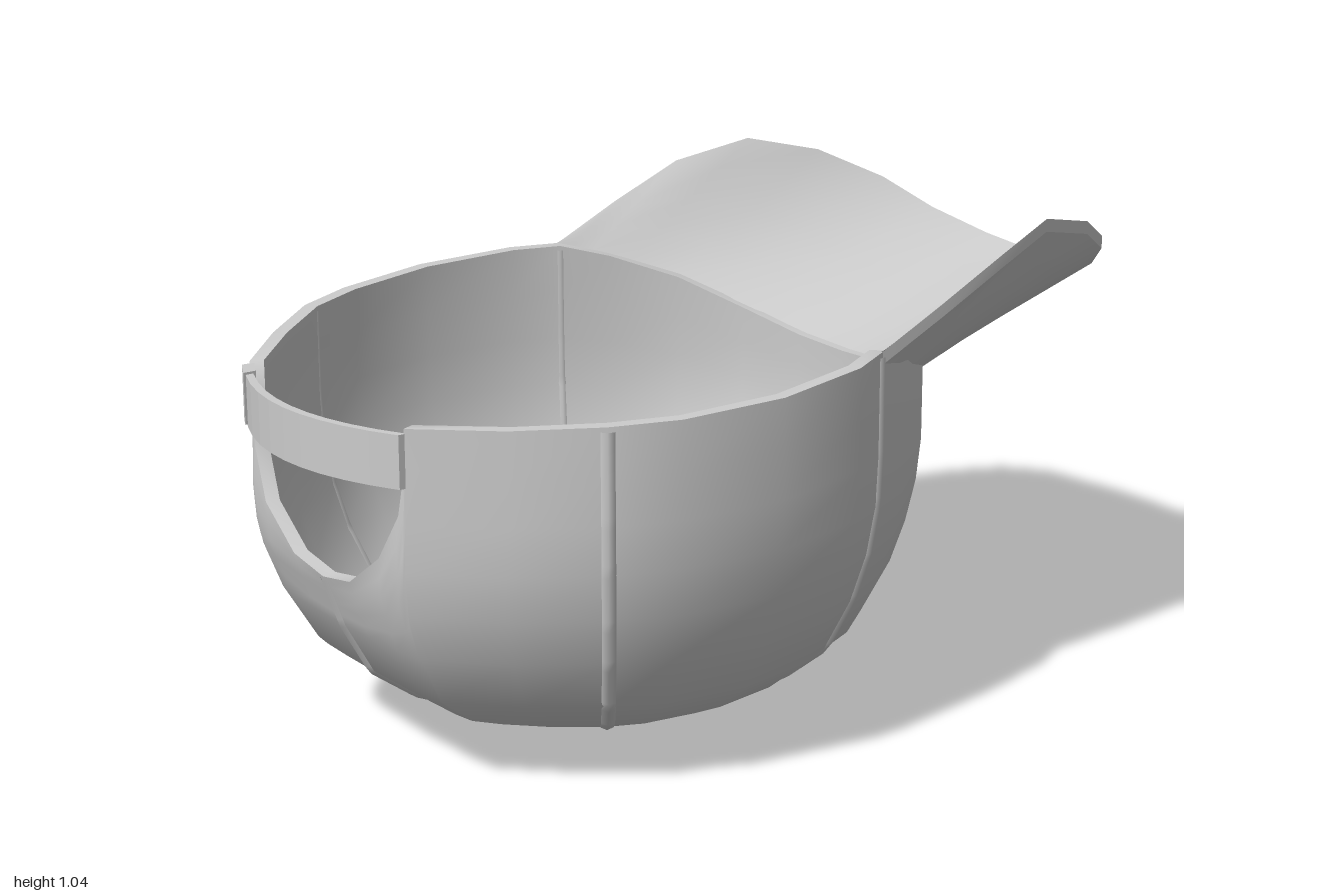
import * as THREE from 'three';
import { mergeGeometries } from 'three/addons/utils/BufferGeometryUtils.js';

const CZ = 0.23; // crown axis
const WALL = 0.03;

// Half of the crown outline, back to front: x, z, height of the rim (back opening first)
const HALF = [
  [0, 0.945, 0.42], [0.11, 0.943, 0.44], [0.22, 0.938, 0.52], [0.275, 0.93, 0.62],
  [0.29, 0.926, 0.7], [0.294, 0.924, 0.8], [0.44, 0.78, 0.805], [0.56, 0.615, 0.815],
  [0.62, 0.48, 0.82], [0.655, 0.26, 0.832], [0.62, 0.04, 0.845], [0.57, -0.06, 0.85],
  [0.52, -0.17, 0.82], [0.42, -0.3, 0.77], [0.29, -0.395, 0.71], [0.14, -0.445, 0.67],
  [0, -0.46, 0.66],
];
const COLS = [...HALF, ...HALF.slice(1, -1).reverse().map(([x, z, y]) => [-x, z, y])];

// Crown profile: share of the full radius, height
const PROFILE = [[0, 0.035], [0.2, 0.037], [0.4, 0.042], [0.53, 0.07], [0.67, 0.115],
  [0.82, 0.195], [0.91, 0.31], [0.975, 0.44], [1, 0.56], [1, 1]];
const LOWER = 7, UPPER = 5, ROWS = LOWER + UPPER;

// Brim edge from the side corner to the tip: x, y, z, and x of the matching rim point
const EDGE = [
  [0.57, 0.85, -0.06, 0.57], [0.57, 0.925, -0.22, 0.555], [0.56, 1.0, -0.39, 0.535],
  [0.508, 1.04, -0.56, 0.49], [0.455, 1.0, -0.73, 0.42], [0.37, 0.932, -0.86, 0.34],
  [0.27, 0.867, -0.93, 0.25], [0.14, 0.822, -0.985, 0.13], [0, 0.805, -1, 0],
];

// Linear lookup in rows of a table, sorted upward by column k
function lookup(table, k, value) {
  let i = 0;
  while (i < table.length - 2 && table[i + 1][k] < value) i++;
  const a = table[i], b = table[i + 1];
  const t = THREE.MathUtils.clamp((value - a[k]) / (b[k] - a[k]), 0, 1);
  return a.map((v, j) => v + (b[j] - v) * t);
}

// Smooth sheet from a point rule; faces point along du x dv
function sheet(nu, nv, point, closed = false) {
  const pos = [], index = [];
  for (let v = 0; v < nv; v++) for (let u = 0; u < nu; u++) pos.push(...point(u, v).toArray());
  for (let v = 0; v < nv - 1; v++) {
    for (let u = 0; u < (closed ? nu : nu - 1); u++) {
      const w = (u + 1) % nu;
      const a = v * nu + u, b = v * nu + w, c = a + nu, d = b + nu;
      index.push(a, b, d, a, d, c);
    }
  }
  const g = new THREE.BufferGeometry();
  g.setAttribute('position', new THREE.Float32BufferAttribute(pos, 3));
  g.setIndex(index);
  g.computeVertexNormals();
  return g;
}

// Point of the crown at a column and row, moved inward by off
function crownPoint(col, row, off = 0) {
  const [x, z, top] = COLS[col];
  let [rho, y] = PROFILE[Math.min(row, LOWER - 1)];
  if (row >= LOWER) {
    y += (top - y) * (row - LOWER + 1) / UPPER;
    rho = lookup(PROFILE, 1, y)[0];
  }
  const r = rho * (1 - off / Math.hypot(x, z - CZ));
  const tuck = z > 0.7 ? 1 - 0.03 * THREE.MathUtils.clamp((y - 0.42) / 0.2, 0, 1) : 1;
  return new THREE.Vector3(x * r, y + off * 0.8 * (1 - rho ** 4), CZ + (z - CZ) * r * tuck);
}

function crownGeometry() {
  const n = COLS.length;
  return mergeGeometries([
    sheet(n, ROWS, (u, v) => crownPoint(u, v), true),
    sheet(n, ROWS, (u, v) => crownPoint(u, ROWS - 1 - v, WALL), true),
    sheet(n, 2, (u, v) => crownPoint(u, ROWS - 1, v * WALL), true),
  ]);
}

// Stitched ridge showing on both faces of the crown
function seamGeometry(col) {
  const path = new THREE.CurvePath();
  const pts = [];
  for (let row = 1; row < ROWS; row++) pts.push(crownPoint(col, row, WALL * 0.45));
  pts[pts.length - 1].lerp(pts[pts.length - 2], 0.1);
  for (let i = 1; i < pts.length; i++) path.add(new THREE.LineCurve3(pts[i - 1], pts[i]));
  return new THREE.TubeGeometry(path, 44, 0.019, 8);
}

function brimGeometry() {
  const rim = HALF.slice(11).reverse(); // front stretch of the rim, x rising
  const across = [...EDGE.map(([x, y, z, r]) => [-x, y, z, -r]), ...EDGE.slice(0, -1).reverse()];
  const n = across.length, steps = 5, thick = 0.028;
  const point = (u, t, drop) => {
    const [x, y, z, rx] = across[u];
    const [, rz, ry] = lookup(rim, 0, Math.abs(rx));
    return new THREE.Vector3(rx, ry, rz + 0.008).lerp(new THREE.Vector3(x, y, z), t)
      .add(new THREE.Vector3(0, -drop, 0));
  };
  return mergeGeometries([
    sheet(n, steps, (u, v) => point(u, v / (steps - 1), 0)),
    sheet(n, steps, (u, v) => point(u, 1 - v / (steps - 1), thick)),
    sheet(n, 2, (u, v) => point(u, 1, v * thick)),
  ]);
}

// Curved band at the back, between x0 and x1
function strapGeometry(x0, x1, y0, y1, inner, outer) {
  const bow = (x) => 0.98 - 0.085 * (x / 0.3) ** 2;
  const shape = new THREE.Shape();
  const n = 10;
  for (let i = 0; i <= n; i++) {
    const x = x0 + (x1 - x0) * i / n;
    if (i) shape.lineTo(x, bow(x) + outer);
    else shape.moveTo(x, bow(x) + outer);
  }
  for (let i = n; i >= 0; i--) {
    const x = x0 + (x1 - x0) * i / n;
    shape.lineTo(x, bow(x) + inner);
  }
  const g = new THREE.ExtrudeGeometry(shape, { depth: y1 - y0, bevelEnabled: false });
  return g.rotateX(Math.PI / 2).translate(0, y1, 0);
}

export function createModel() {
  const group = new THREE.Group();
  const material = new THREE.MeshStandardMaterial({ color: 0xcccccc, side: THREE.DoubleSide });
  const add = (name, geometry) => {
    const mesh = new THREE.Mesh(geometry, material);
    mesh.name = name;
    group.add(mesh);
    return mesh;
  };

  add('crown', crownGeometry());
  add('brim', brimGeometry());

  // Seams: back centre, then rear and front pairs
  const n = COLS.length;
  add('backSeam', seamGeometry(0));
  for (const [name, col] of [['rearSeam', 7], ['frontSeam', 11]]) {
    add(name + 'Left', seamGeometry(col));
    add(name + 'Right', seamGeometry(n - col));
  }

  // Adjusting strap with its loop
  add('strap', strapGeometry(-0.295, 0.295, 0.68, 0.79, 0, 0.018));
  add('strapLoop', strapGeometry(-0.295, -0.24, 0.685, 0.795, -0.006, 0.023));

  // Button at the crown's peak, resting on the ground
  const button = add('button', new THREE.SphereGeometry(1, 20, 12));
  button.scale.set(0.057, 0.025, 0.057);
  button.position.set(0, 0.025, CZ);

  return group;
}
